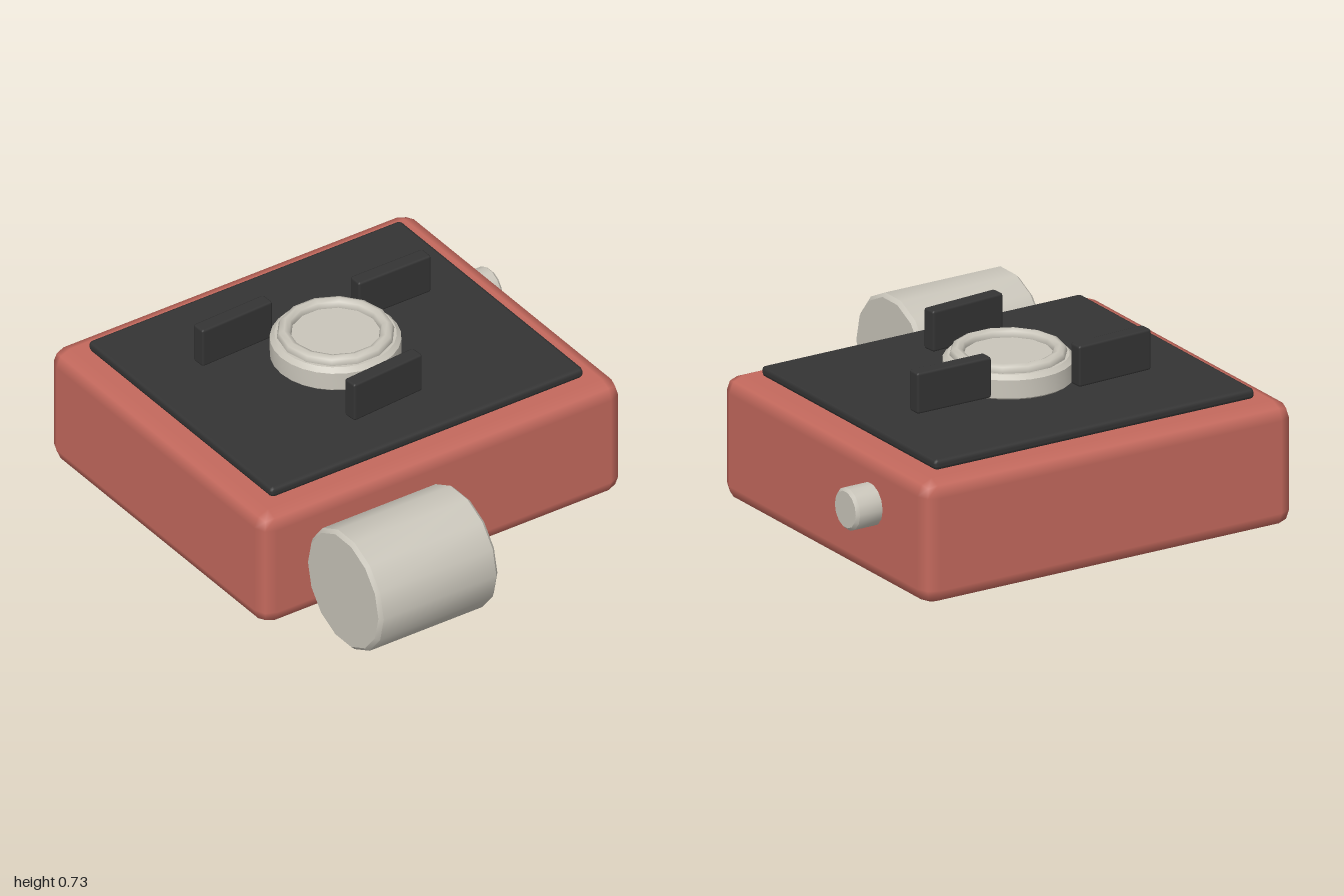
import * as THREE from 'three';
import { toCreasedNormals } from 'three/addons/utils/BufferGeometryUtils.js';
import { RoundedBoxGeometry } from 'three/addons/geometries/RoundedBoxGeometry.js';

const material = (name, color) => {
  const m = new THREE.MeshStandardMaterial({ color });
  m.name = name;
  return m;
};

// Box with softened edges, given by its extents on each axis
function softBox(name, mat, [x0, x1], [y0, y1], [z0, z1], radius) {
  const mesh = new THREE.Mesh(new RoundedBoxGeometry(x1 - x0, y1 - y0, z1 - z0, 1, radius), mat);
  mesh.position.set((x0 + x1) / 2, (y0 + y1) / 2, (z0 + z1) / 2);
  mesh.name = name;
  return mesh;
}

// Bevelled drum standing along y, centred on the origin
function drum(name, mat, radius, length, bevel, sides) {
  const h = length / 2;
  const profile = [[0, -h], [radius - bevel, -h], [radius, -h + bevel],
    [radius, h - bevel], [radius - bevel, h], [0, h]].map(([x, y]) => new THREE.Vector2(x, y));
  const geometry = toCreasedNormals(new THREE.LatheGeometry(profile, sides), 0.6);
  const mesh = new THREE.Mesh(geometry, mat);
  mesh.name = name;
  return mesh;
}

export function createModel() {
  const red = material('red enamel', 0xc4695d);
  const black = material('black iron', 0x343434);
  const steel = material('pale steel', 0xc9c5ba);
  const model = new THREE.Group();
  model.name = 'campStove';

  // Stove body and cooking plate
  model.add(softBox('body', red, [-0.9, 0.785], [0, 0.508], [-1, 0.46], 0.065));
  model.add(softBox('topPlate', black, [-0.787, 0.672], [0.508, 0.552], [-0.89, 0.35], 0.018));

  // Burner cup with a raised ring
  const burner = new THREE.Group();
  burner.name = 'burner';
  const cup = drum('burnerCup', steel, 0.253, 0.11, 0.018, 28);
  cup.position.y = 0.595;
  const ring = new THREE.Mesh(new THREE.TorusGeometry(0.2, 0.028, 8, 14), steel);
  ring.name = 'burnerRing';
  ring.rotation.x = Math.PI / 2;
  ring.position.y = 0.653;
  burner.add(cup, ring);
  burner.position.set(-0.058, 0, -0.272);
  model.add(burner);

  // Three pot supports around the burner: x, z, turn
  for (const [x, z, turn] of [[-0.372, -0.51, 0.045], [-0.106, 0.12, 0.08], [0.307, -0.428, 0]]) {
    const support = softBox('potSupport', black, [-0.169, 0.169], [0.565, 0.733], [-0.031, 0.031], 0.01);
    support.position.x = x;
    support.position.z = z;
    support.rotation.y = turn;
    model.add(support);
  }

  // Gas canister lying in front
  const canister = drum('gasCanister', steel, 0.252, 0.555, 0.015, 14);
  canister.rotation.z = Math.PI / 2;
  canister.position.set(-0.452, 0.285, 0.748);
  model.add(canister);

  // Control knob on the side
  const knob = drum('knob', steel, 0.086, 0.13, 0.012, 14);
  knob.rotation.z = Math.PI / 2;
  knob.position.set(0.835, 0.31, -0.605);
  model.add(knob);

  return model;
}
